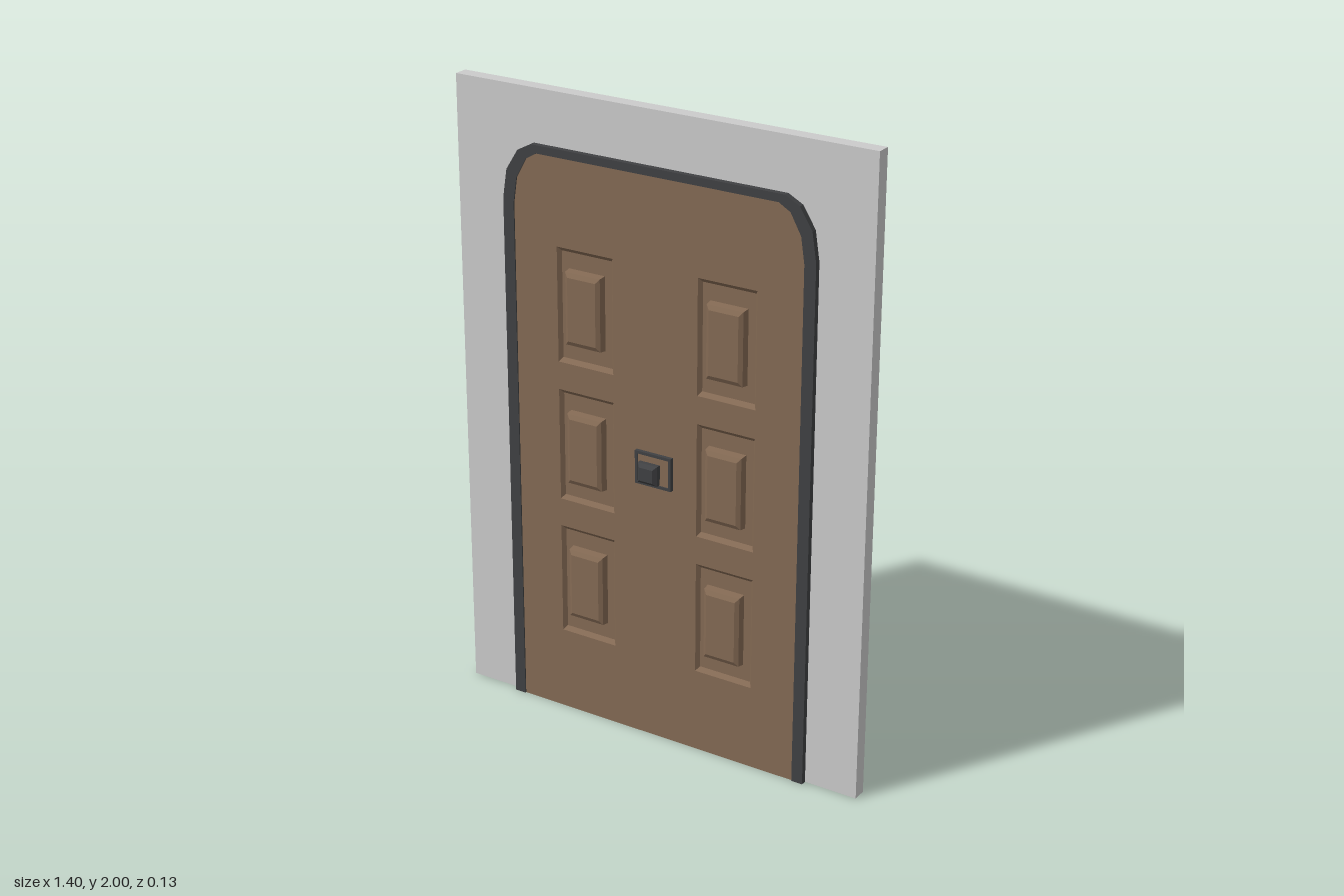
import * as THREE from 'three';

const mat = (color) => new THREE.MeshStandardMaterial({ color, flatShading: true });

// Right half of an arched outline, bottom to top, mirrored into a full loop
function archPoints(half) {
  const right = half.map(([x, y]) => new THREE.Vector2(x, y));
  const left = half.map(([x, y]) => new THREE.Vector2(-x, y)).reverse();
  return [...right, ...left];
}

function extrude(shape, z0, z1) {
  const g = new THREE.ExtrudeGeometry(shape, { depth: z1 - z0, bevelEnabled: false });
  return g.translate(0, 0, z0);
}

function rectPoints(cx, cy, hw, hh) {
  return [[-1, -1], [1, -1], [1, 1], [-1, 1]].map(([a, b]) => new THREE.Vector2(cx + a * hw, cy + b * hh));
}

// Skin through rectangular rings [halfWidth, halfHeight, z], closed at the last ring
function loftRects(rings) {
  const pos = [];
  const loops = rings.map(([w, h, z]) => [[-w, -h, z], [w, -h, z], [w, h, z], [-w, h, z]]);
  const quad = (a, b, c, d) => pos.push(...a, ...b, ...c, ...a, ...c, ...d);
  for (let i = 0; i < loops.length - 1; i++) {
    for (let k = 0; k < 4; k++) {
      const n = (k + 1) % 4;
      quad(loops[i][k], loops[i][n], loops[i + 1][n], loops[i + 1][k]);
    }
  }
  quad(...loops[loops.length - 1]);
  const g = new THREE.BufferGeometry();
  g.setAttribute('position', new THREE.Float32BufferAttribute(pos, 3));
  g.computeVertexNormals();
  return g;
}

export function createModel() {
  const group = new THREE.Group();
  const grey = mat(0xcccccc);
  const brown = mat(0x846a54);
  const dark = mat(0x404143);

  const add = (name, geometry, material, x = 0, y = 0) => {
    const mesh = new THREE.Mesh(geometry, material);
    mesh.name = name;
    mesh.position.set(x, y, 0);
    group.add(mesh);
  };

  const outer = archPoints([[0.527, 0], [0.527, 1.655], [0.513, 1.745], [0.472, 1.81], [0.425, 1.835]]);
  const inner = archPoints([[0.49, 0], [0.49, 1.645], [0.478, 1.725], [0.443, 1.788], [0.405, 1.81]]);
  const ring = (a, b) => new THREE.Shape([...a, ...b.slice().reverse()]);

  // Wall with the doorway cut out of its lower edge
  const wallEdge = [[0.7, 0], [0.7, 2], [-0.7, 2], [-0.7, 0]].map(([x, y]) => new THREE.Vector2(x, y));
  add('wall', extrude(ring(wallEdge, outer), -0.045, 0), grey);

  // Door frame
  add('doorFrame', extrude(ring(outer, inner), -0.065, 0.018), dark);

  // Door leaf: plain back layer, front layer pierced for the panels
  const front = 0.014, floor = 0.002;
  const panels = [];
  for (const x of [-0.243, 0.243]) for (const y of [0.452, 0.905, 1.356]) panels.push([x, y]);
  add('doorBack', extrude(new THREE.Shape(inner), -0.062, floor - 0.003), brown);
  const face = new THREE.Shape(inner);
  for (const [x, y] of panels) face.holes.push(new THREE.Path(rectPoints(x, y, 0.098, 0.181)));
  add('doorFront', extrude(face, floor - 0.003, front), brown);

  // Sunk panels, each with a raised bevelled field
  const panelGeometry = loftRects([
    [0.098, 0.181, front], [0.088, 0.168, floor], [0.063, 0.117, floor],
    [0.061, 0.114, 0.026], [0.049, 0.1, 0.034],
  ]);
  for (const [x, y] of panels) add('panel', panelGeometry, brown, x, y);

  // Handle: thin square rim and a faceted knob
  const rim = new THREE.Shape(rectPoints(0, 0, 0.063, 0.053));
  rim.holes.push(new THREE.Path(rectPoints(0, 0, 0.054, 0.044)));
  add('handleRim', extrude(rim, front - 0.002, 0.026), dark, 0, 0.905);
  add('handlePlate', new THREE.BoxGeometry(0.11, 0.09, 0.016).translate(0, 0, 0.014), brown, 0, 0.905);
  add('knob', loftRects([
    [0.024, 0.022, front], [0.024, 0.022, 0.034], [0.034, 0.032, 0.041],
    [0.034, 0.032, 0.054], [0.023, 0.021, 0.065],
  ]), dark, 0, 0.905);

  return group;
}
